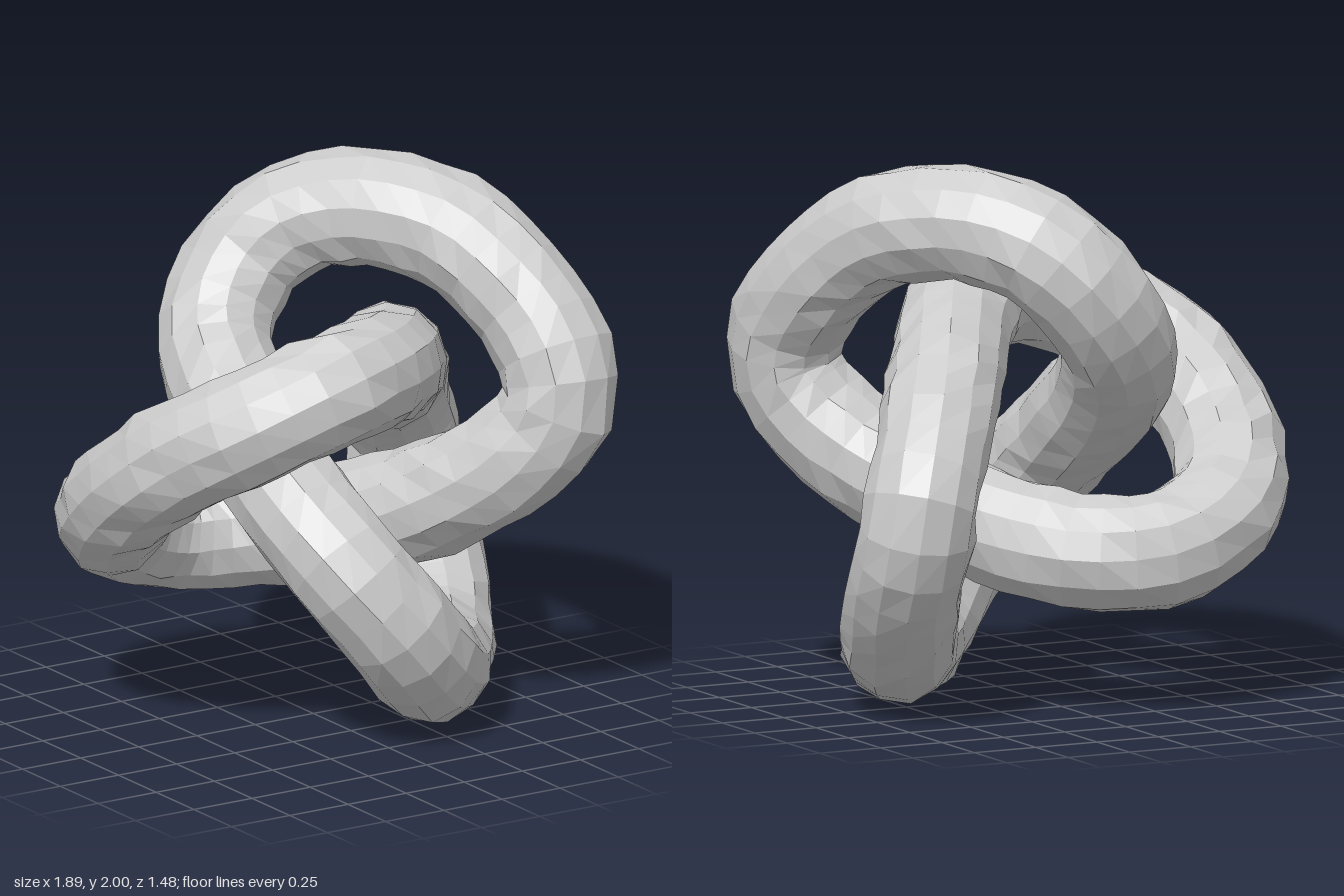
import * as THREE from 'three';

export function createModel() {
  const group = new THREE.Group();

  // Half of the knot's centre line; the other half is a half turn about the x axis
  const half = [
    [-0.74, 0, 0], [-0.69, 0.17, 0.25], [-0.54, 0.30, 0.45], [-0.28, 0.40, 0.53],
    [-0.02, 0.41, 0.43], [0.19, 0.355, 0.20], [0.37, 0.25, -0.07], [0.54, 0.10, -0.32],
    [0.65, -0.04, -0.455], [0.72, -0.19, -0.52], [0.73, -0.34, -0.485], [0.71, -0.48, -0.38],
    [0.65, -0.62, -0.24], [0.57, -0.735, -0.07], [0.46, -0.785, 0.11], [0.33, -0.785, 0.29],
    [0.18, -0.71, 0.45], [0.03, -0.55, 0.525], [-0.125, -0.34, 0.46], [-0.195, -0.16, 0.25], [-0.205, 0, 0],
  ];
  const mirrored = half.slice(1, -1).reverse().map(([x, y, z]) => [x, -y, -z]);
  const points = [...half, ...mirrored].map(([x, y, z]) => new THREE.Vector3(x, y + 1, z));
  const path = new THREE.CatmullRomCurve3(points, true, 'centripetal');

  // Faceted closed tube with a slightly lumpy skin
  const geometry = new THREE.TubeGeometry(path, 100, 0.211, 12, true);
  const pos = geometry.attributes.position;
  const normal = geometry.attributes.normal;
  const p = new THREE.Vector3();
  const n = new THREE.Vector3();
  for (let i = 0; i < pos.count; i++) {
    p.fromBufferAttribute(pos, i);
    n.fromBufferAttribute(normal, i);
    const lump = Math.sin(p.x * 23 + p.y * 11) * Math.sin(p.y * 19 - p.z * 13) * Math.cos(p.z * 27 + p.x * 7);
    p.addScaledVector(n, 0.015 * lump);
    pos.setXYZ(i, p.x, p.y, p.z);
  }
  geometry.computeVertexNormals();

  const knot = new THREE.Mesh(
    geometry,
    new THREE.MeshStandardMaterial({ color: 0xcccccc, flatShading: true })
  );
  knot.name = 'knotTube';
  group.add(knot);
  return group;
}
